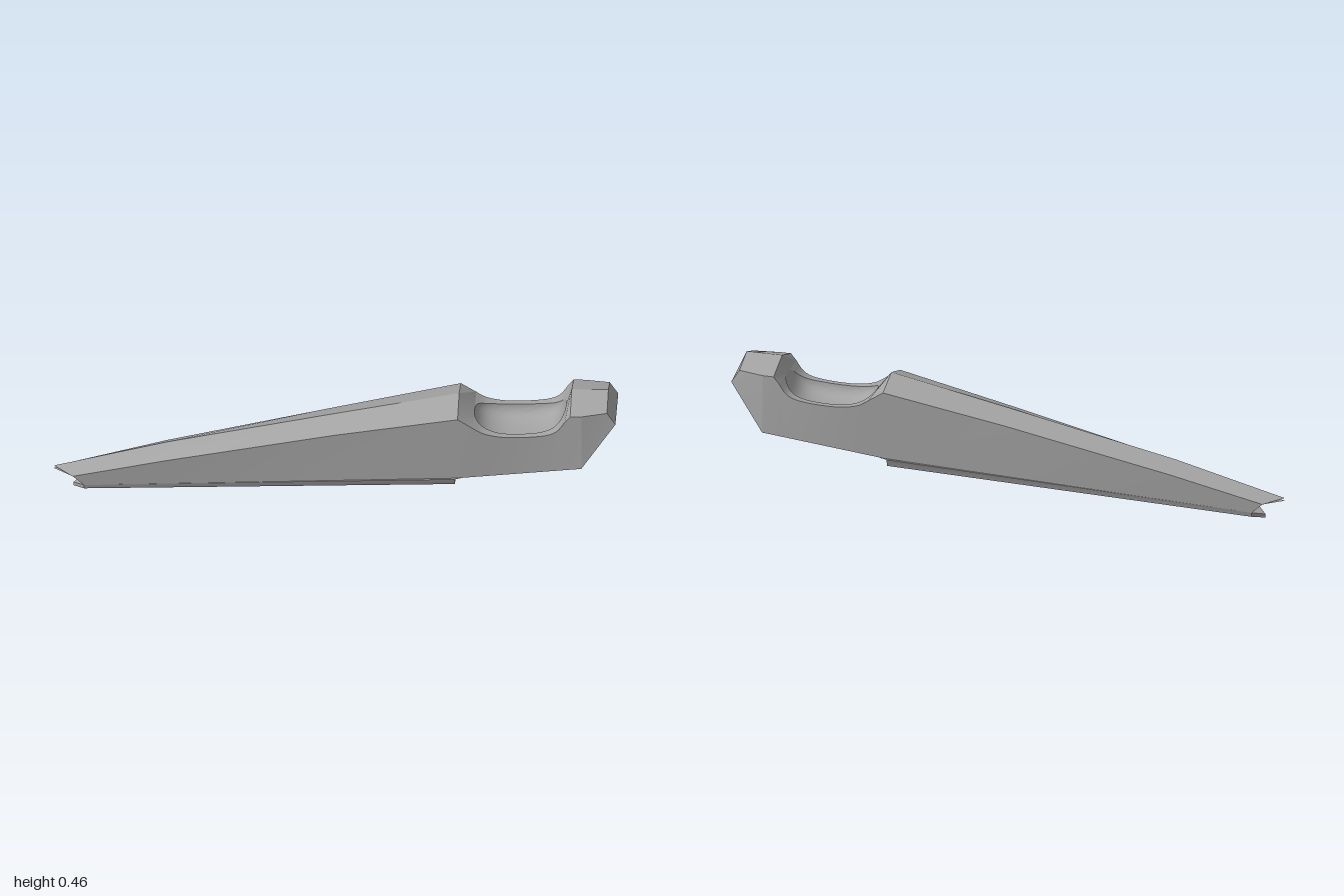
import * as THREE from 'three';
import { toCreasedNormals } from 'three/addons/utils/BufferGeometryUtils.js';

const lerp = THREE.MathUtils.lerp;

// Skin over rows of [x, y, z] points
function loft(rows, crease = 0.4) {
  const pos = [];
  for (let i = 0; i < rows.length - 1; i++) {
    for (let j = 0; j < rows[i].length - 1; j++) {
      const a = rows[i][j], b = rows[i][j + 1], c = rows[i + 1][j], d = rows[i + 1][j + 1];
      pos.push(...a, ...b, ...c, ...b, ...d, ...c);
    }
  }
  const geo = new THREE.BufferGeometry();
  geo.setAttribute('position', new THREE.Float32BufferAttribute(pos, 3));
  return toCreasedNormals(geo, crease);
}

// Roof-shaped row: edge, ridge, edge
const gable = (x, ridge, edge, w, midX = x) => [[x, edge, -w], [midX, ridge, 0], [x, edge, w]];

// Piecewise linear lookup in [x, value, value...] rows
function lookup(table, x) {
  let i = 0;
  while (i < table.length - 2 && x > table[i + 1][0]) i++;
  const [a, b] = [table[i], table[i + 1]];
  const t = THREE.MathUtils.clamp((x - a[0]) / (b[0] - a[0]), 0, 1);
  return a.map((v, k) => lerp(v, b[k], t));
}

export function createModel() {
  const group = new THREE.Group();
  const grey = new THREE.MeshStandardMaterial({ color: 0xa3a3a3, side: THREE.DoubleSide });
  grey.name = 'grey';
  const add = (name, rows, crease) => {
    const mesh = new THREE.Mesh(loft(rows, crease), grey);
    mesh.name = name;
    group.add(mesh);
  };

  // Saddle curve and stations
  const X0 = 0.495, X1 = 0.82, N = 32;
  const curve = new THREE.SplineCurve([
    [X0, 0.355], [0.53, 0.335], [0.58, 0.324], [0.63, 0.322], [0.7, 0.326],
    [0.76, 0.336], [0.795, 0.355], [X1, 0.39],
  ].map(p => new THREE.Vector2(...p)));
  const saddle = curve.getPoints(200).map(p => [p.x, p.y]);
  const scoop = [];
  for (let k = 0; k <= N; k++) {
    const u = -Math.cos(Math.PI * k / N);
    const x = lerp(X0, X1, (u + 1) / 2);
    scoop.push({ u, x, y: lookup(saddle, x)[1], w: lerp(0.124, 0.125, (u + 1) / 2) });
  }

  // Long front roof, including the pointed nose and its notch
  const front = [[-0.93, 0.099, 0.066, 0.047], [-0.6, 0.19, 0.155, 0.07], [0, 0.327, 0.295, 0.096], [0.44, 0.425, 0.39, 0.123]];
  const first = scoop[0], last = scoop[N];
  add('frontRoof', [
    gable(-0.89, 0.03, 0.03, 0.045, -0.885),
    gable(-0.93, 0.066, 0.066, 0.047, -0.92),
    gable(-1, 0.07, 0.07, 0),
    gable(-1, 0.08, 0.08, 0),
    ...front.map(r => gable(...r)),
    gable(first.x, first.y, first.y, first.w),
  ]);

  // Rear block: roof, bevel, slanted end and lower lip
  add('rearBlock', [
    gable(last.x, last.y, last.y, last.w),
    gable(0.84, 0.453, 0.415, 0.125),
    gable(0.88, 0.454, 0.416, 0.125),
    gable(0.97, 0.456, 0.421, 0.105),
    gable(1, 0.375, 0.375, 0.105),
    gable(0.88, 0.204, 0.204, 0.133),
    gable(0.87, 0.195, 0.195, 0.105),
  ]);
  for (const s of [1, -1]) {
    const a = [[0.88, 0.416, 0.125 * s], [0.88, 0.204, 0.133 * s]];
    const b = [[0.97, 0.421, 0.105 * s], [1, 0.375, 0.105 * s]];
    add('rearCornerBevel', s > 0 ? [a, b] : [a.reverse(), b.reverse()]);
  }

  // Sides and underside: lower edge and underside heights and half-widths
  const lower = [[-0.89, 0.03, 0.046, 0.03, 0.045], [0.44, 0.138, 0.11, 0.135, 0.1], [0.88, 0.204, 0.133, 0.195, 0.105]];
  const edges = [
    ...front.map(([x, , y, w]) => [x, y, w]),
    ...scoop.map(({ x, y, w }) => [x, y, w]),
    [0.84, 0.415, 0.125], [0.88, 0.416, 0.125],
  ];
  add('bodyShell', edges.map(([x, y, w]) => {
    const [xl, ys, ws, yu, wu] = lookup(lower, x);
    const xu = Math.min(xl, 0.87);
    return [[x, y, w], [xl, ys, ws], [xu, yu, wu], [xu, yu, -wu], [xl, ys, -ws], [x, y, -w]];
  }));

  // Saddle rim around a rounded pocket
  const n = 3, depth = 0.05, M = 24;
  const bulge = u => Math.max(0, 1 - Math.abs(u) ** n);
  const pocketWidth = u => 0.1 * Math.cbrt(bulge(u));
  add('saddleRim', scoop.map(({ u, x, y, w }) => [[x, y, -w], [x, y, -pocketWidth(u)]]));
  add('saddleRim', scoop.map(({ u, x, y, w }) => [[x, y, pocketWidth(u)], [x, y, w]]));
  add('pocket', scoop.map(({ u, x, y }) => {
    const row = [];
    for (let k = 0; k <= M; k++) {
      const v = -Math.cos(Math.PI * k / M);
      row.push([x, y - depth * Math.sqrt(bulge(u) * bulge(v)), v * pocketWidth(u)]);
    }
    return row;
  }), 0.9);

  // Keel strip under the front, pointed at the nose
  const keelRow = (x, top, tw, bot, bw, mid) =>
    [[x, top, tw], [x, bot, bw], [x, mid, 0], [x, bot, -bw], [x, top, -tw], [x, top, tw]];
  add('keel', [
    keelRow(-0.93, 0.013, 0, 0, 0, 0),
    keelRow(-0.89, 0.031, 0.046, 0.014, 0.042, 0.003),
    keelRow(0.43, 0.135, 0.114, 0.107, 0.1, 0.107),
  ]);
  add('keelEnd', [
    gable(0.455, 0.138, 0.138, 0.108),
    gable(0.43, 0.135, 0.135, 0.114),
    gable(0.43, 0.107, 0.107, 0.1),
  ]);
  return group;
}
